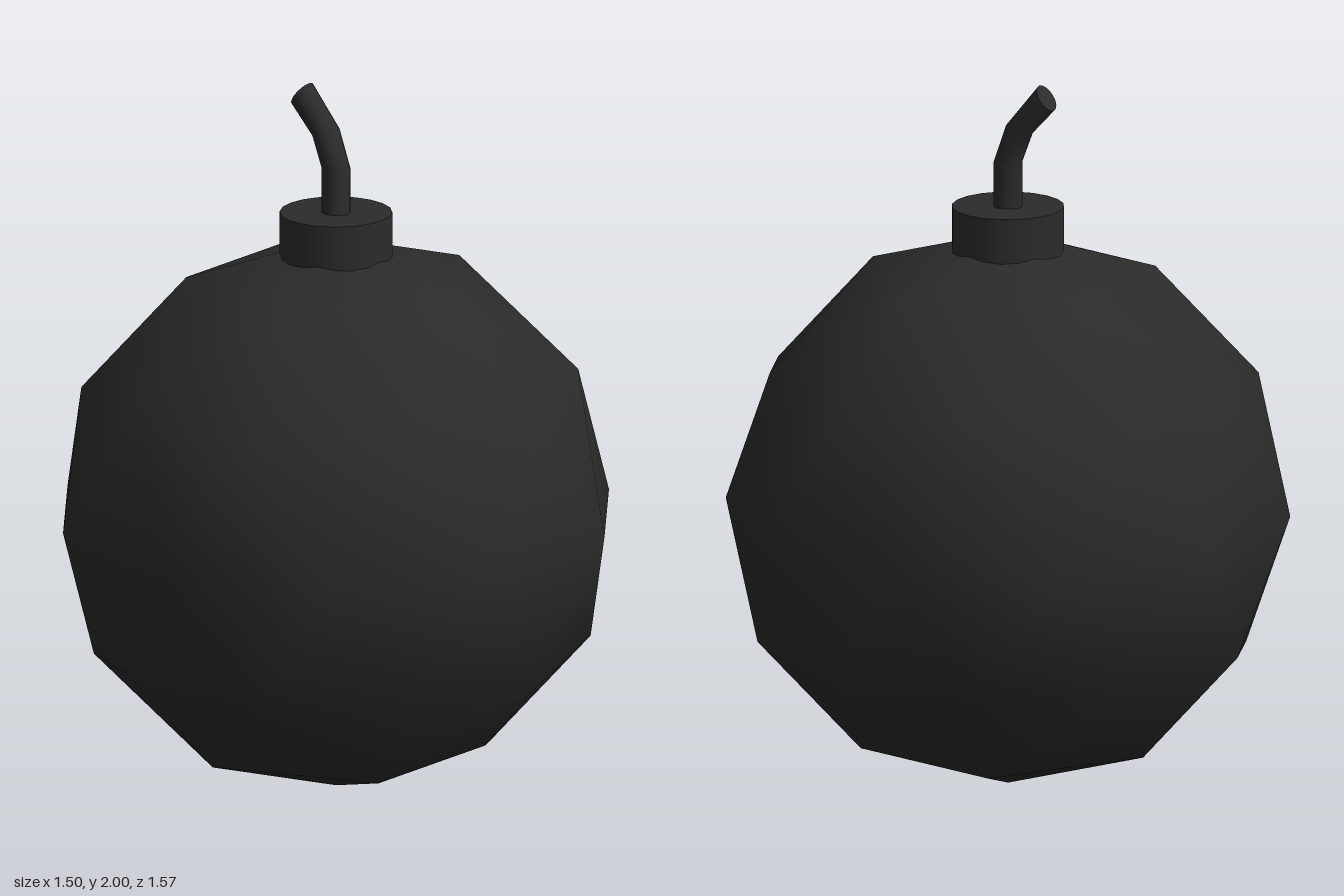
import * as THREE from 'three';
import { toCreasedNormals } from 'three/addons/utils/BufferGeometryUtils.js';

const R = 0.787;

// Fuse: a straight cylinder whose rings are moved and tilted along a bent path
function fuseGeometry() {
  // centre x, centre y, half-width vector x, half-width vector y
  const rings = [
    [0, 1.6, 0.04, 0],
    [0, 1.773, 0.04, -0.002],
    [-0.035, 1.87, 0.036, 0.012],
    [-0.118, 1.967, 0.0235, 0.033],
  ];
  const geo = new THREE.CylinderGeometry(1, 1, 3, 16, 3);
  const p = geo.attributes.position;
  for (let i = 0; i < p.count; i++) {
    const [cx, cy, ux, uy] = rings[Math.round(p.getY(i) + 1.5)];
    const s = p.getX(i);
    p.setXYZ(i, cx + ux * s, cy + uy * s, 0.04 * p.getZ(i));
  }
  return toCreasedNormals(geo, 0.9);
}

export function createModel() {
  const group = new THREE.Group();
  const material = new THREE.MeshStandardMaterial({ color: 0x2b2b2b });
  const add = (name, geometry) => {
    const mesh = new THREE.Mesh(geometry, material);
    mesh.name = name;
    group.add(mesh);
    return mesh;
  };

  // Body: smooth-shaded icosphere turned so a corner points straight up
  const ball = new THREE.IcosahedronGeometry(R, 1);
  ball.rotateZ(-Math.atan2(1, (1 + Math.sqrt(5)) / 2));
  add('body', ball).position.y = R;

  // Neck: short collar sunk into the top of the body
  const neck = new THREE.CylinderGeometry(0.156, 0.156, 0.2, 20);
  add('neck', neck).position.y = 1.547;

  add('fuse', fuseGeometry());
  return group;
}
